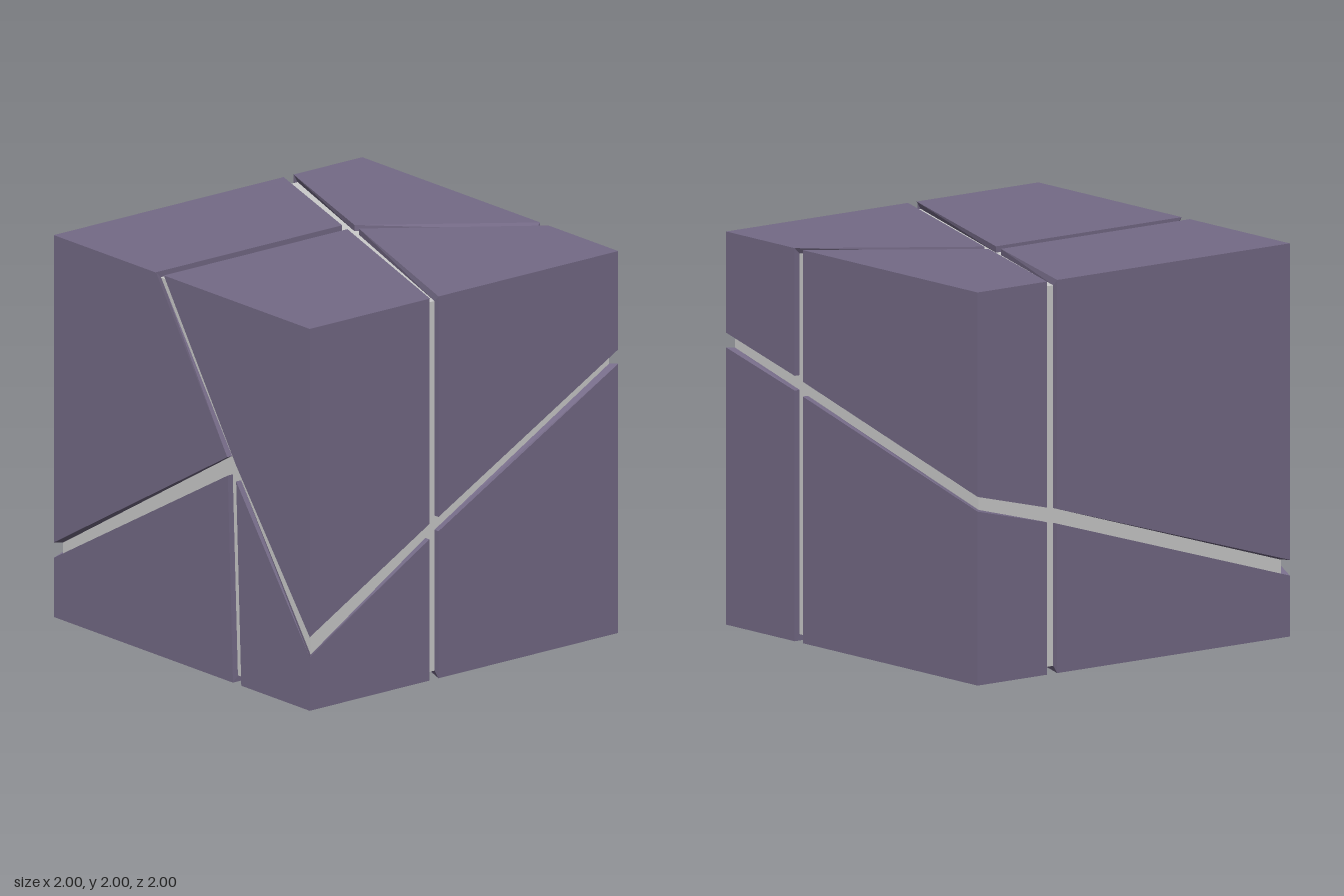
import * as THREE from 'three';

const DEPTH = 0.032;          // groove depth
const INNER = 1 - DEPTH;      // half size of the core

// Each face: a map from face coordinates (u, v) to the cube surface, and four corner panels.
// Panel row: cornerU, cornerV, end along the u edge, end along the v edge, inner corner u, v
const FACES = {
  front: {
    at: (u, v) => [u, v, 1],
    panels: [
      [-1, 1, -0.20, -0.61, 0.355, 0.17],
      [1, 1, -0.14, -0.615, 0.42, 0.15],
      [1, -1, 0.465, -0.72, 0.425, 0.06],
      [-1, -1, 0.40, -0.69, 0.36, 0.075],
    ],
  },
  back: {
    at: (u, v) => [u, v, -1],
    panels: [
      [-1, 1, 0.39, -0.04, 0.39, 0.33],
      [1, 1, 0.455, 0.485, 0.455, 0.35],
      [1, -1, 0.455, 0.41, 0.455, 0.275],
      [-1, -1, 0.39, -0.115, 0.39, 0.255],
    ],
  },
  rightSide: {                // u is z, v is height
    at: (u, v) => [1, v, u],
    panels: [
      [-1, 1, 0.165, 0.485, 0.165, -0.155],
      [1, 1, 0.225, -0.615, 0.225, -0.18],
      [1, -1, 0.225, -0.72, 0.225, -0.26],
      [-1, -1, 0.165, 0.41, 0.165, -0.23],
    ],
  },
  leftSide: {                 // u is z, v is height
    at: (u, v) => [-1, v, u],
    panels: [
      [-1, 1, -0.555, -0.04, -0.555, -0.15],
      [1, 1, -0.49, -0.61, -0.49, -0.165],
      [1, -1, -0.49, -0.69, -0.49, -0.24],
      [-1, -1, -0.555, -0.115, -0.555, -0.225],
    ],
  },
  top: {                      // u is x, v is z
    at: (u, v) => [u, 1, v],
    panels: [
      [-1, -1, 0.39, -0.555, -0.17, -0.26],
      [1, -1, 0.455, 0.165, -0.11, -0.24],
      [1, 1, -0.14, 0.22, -0.14, -0.19],
      [-1, 1, -0.205, -0.49, -0.205, -0.21],
    ],
  },
  bottom: {                   // u is x, v is z
    at: (u, v) => [u, -1, v],
    panels: [
      [-1, -1, 0.39, -0.555, 0.385, -0.06],
      [1, -1, 0.455, 0.165, 0.45, -0.035],
      [1, 1, 0.465, 0.225, 0.455, 0.03],
      [-1, 1, 0.40, -0.49, 0.39, 0.01],
    ],
  },
};

// Four-sided slab whose back is the outline clamped to the core, so cube edges are mitred
function panelGeometry(at, [cu, cv, eu, ev, ju, jv]) {
  const outer = [[cu, cv], [eu, cv], [ju, jv], [cu, ev]].map(([u, v]) => new THREE.Vector3(...at(u, v)));
  const normal = new THREE.Vector3(...at(0, 0));
  const turn = outer[1].clone().sub(outer[0]).cross(outer[3].clone().sub(outer[0]));
  if (turn.dot(normal) < 0) outer.reverse();
  const inner = outer.map((p) => p.clone().clampScalar(-INNER, INNER));

  const positions = [];
  const quad = (a, b, c, d) => [a, b, c, a, c, d].forEach((p) => positions.push(p.x, p.y, p.z));
  // Split across the cube corner and the inner corner
  const k = outer.findIndex((p) => p.distanceTo(new THREE.Vector3(...at(cu, cv))) < 1e-6);
  const o = (i) => outer[(k + i) % 4];
  const n = (i) => inner[(k + i) % 4];
  quad(o(0), o(1), o(2), o(3));
  quad(n(0), n(3), n(2), n(1));
  for (let i = 0; i < 4; i++) quad(o(i), n(i), n(i + 1), o(i + 1));

  const geometry = new THREE.BufferGeometry();
  geometry.setAttribute('position', new THREE.Float32BufferAttribute(positions, 3));
  geometry.computeVertexNormals();
  return geometry;
}

export function createModel() {
  const model = new THREE.Group();
  model.name = 'groovedCube';
  const grey = new THREE.MeshStandardMaterial({ color: 0xcccccc });
  const purple = new THREE.MeshStandardMaterial({ color: 0x746a86, flatShading: true });

  // Core seen at the bottom of the grooves
  const core = new THREE.Mesh(new THREE.BoxGeometry(2 * INNER, 2 * INNER, 2 * INNER), grey);
  core.name = 'core';
  core.position.y = 1;
  model.add(core);

  // Four panels on each face
  for (const [name, face] of Object.entries(FACES)) {
    const group = new THREE.Group();
    group.name = `${name}Panels`;
    group.position.y = 1;
    face.panels.forEach((row, i) => {
      const mesh = new THREE.Mesh(panelGeometry(face.at, row), purple);
      mesh.name = `${name}Panel${i + 1}`;
      group.add(mesh);
    });
    model.add(group);
  }
  return model;
}
